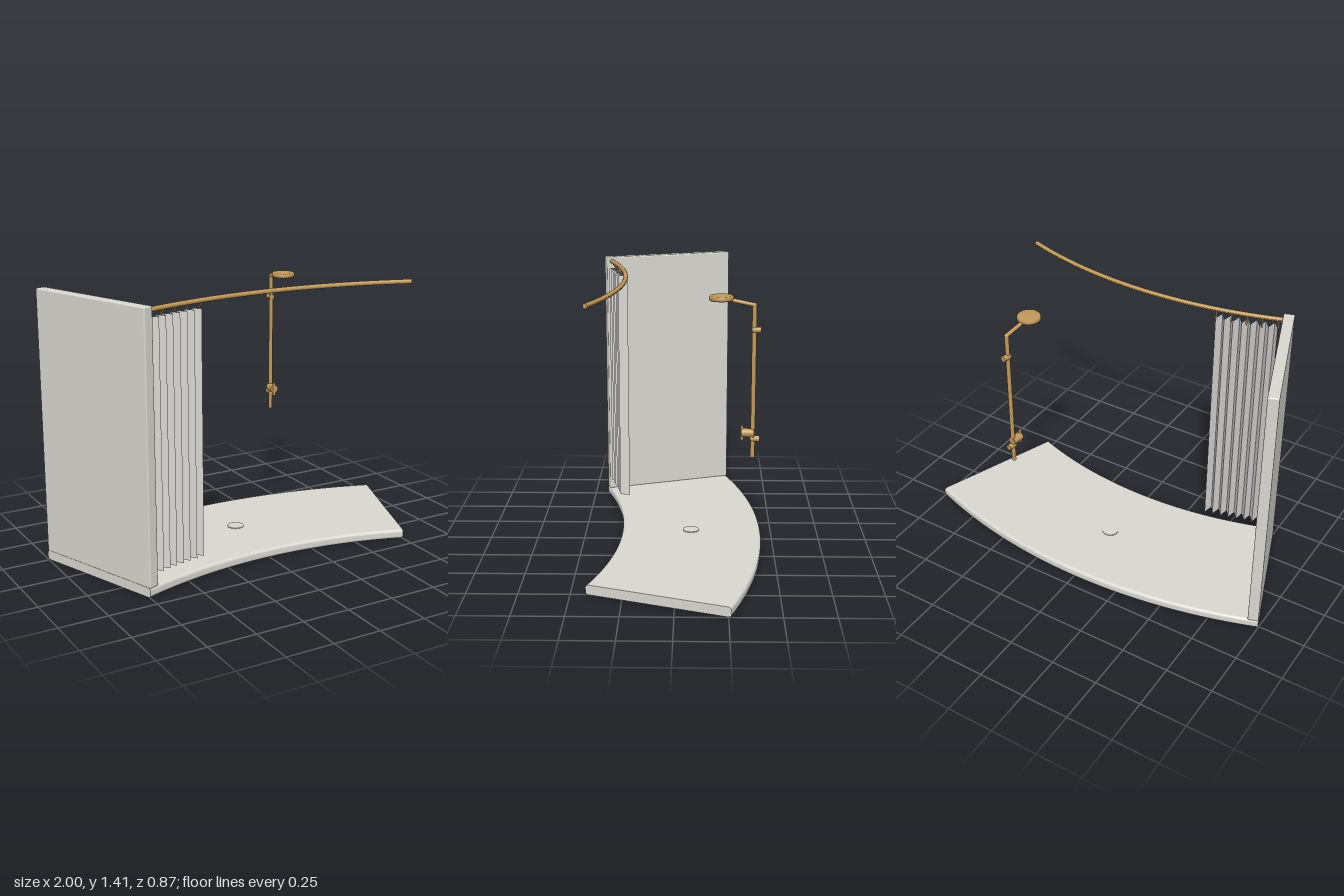
import * as THREE from 'three';
import { RoundedBoxGeometry } from 'three/addons/geometries/RoundedBoxGeometry.js';

const CZ = 2.485, R_IN = 2.19, R_OUT = 2.924, R_RAIL = 2.217; // shared arc centre and radii
const deg = THREE.MathUtils.degToRad;

// Point on the plan at a radius and angle (positive angle is +x, zero is the back)
const onArc = (r, a, y) => new THREE.Vector3(r * Math.sin(a), y, CZ - r * Math.cos(a));

// Sweep a closed counter-clockwise section (radius, y) between two angles, with end caps
function arcSweep(name, section, a0, a1, mat) {
  const g = new THREE.Group();
  g.name = name;
  const body = new THREE.Mesh(
    new THREE.LatheGeometry([...section, section[0].clone()], 64, Math.PI - a1, a1 - a0), mat);
  body.name = name + 'Body';
  g.add(body);
  for (const a of [a0, a1]) {
    const cap = new THREE.Mesh(new THREE.ShapeGeometry(new THREE.Shape(section)), mat);
    cap.rotation.y = Math.PI / 2 - a;
    cap.name = name + 'End';
    g.add(cap);
  }
  g.position.z = CZ;
  return g;
}

// Rounded rectangle section with short flats beside each corner to keep the faces flat
function roundedSection(x0, x1, y0, y1, r) {
  const pts = [], e = 0.001;
  const corners = [[x1 - r, y0 + r, -90], [x1 - r, y1 - r, 0], [x0 + r, y1 - r, 90], [x0 + r, y0 + r, 180]];
  for (const [cx, cy, start] of corners) {
    const s = deg(start), t = s + Math.PI / 2;
    pts.push(new THREE.Vector2(cx + r * Math.cos(s) + e * Math.sin(s), cy + r * Math.sin(s) - e * Math.cos(s)));
    for (let i = 0; i <= 6; i++) {
      const a = s + (i / 6) * Math.PI / 2;
      pts.push(new THREE.Vector2(cx + r * Math.cos(a), cy + r * Math.sin(a)));
    }
    pts.push(new THREE.Vector2(cx + r * Math.cos(t) - e * Math.sin(t), cy + r * Math.sin(t) + e * Math.cos(t)));
  }
  return pts;
}

export function createModel() {
  const model = new THREE.Group();
  model.name = 'curvedShower';
  const ceramic = new THREE.MeshStandardMaterial({ name: 'ceramic', color: 0xd8d7d0, side: THREE.DoubleSide });
  const fabric = new THREE.MeshStandardMaterial({ name: 'fabric', color: 0xdad9d6, side: THREE.DoubleSide });
  const brass = new THREE.MeshStandardMaterial({ name: 'brass', color: 0xc0995a, side: THREE.DoubleSide });

  const add = (parent, name, geo, mat, x = 0, y = 0, z = 0) => {
    const m = new THREE.Mesh(geo, mat);
    m.name = name;
    m.position.set(x, y, z);
    parent.add(m);
    return m;
  };
  // Straight rod between two points
  const rod = (parent, name, a, b, r, mat) => {
    const m = add(parent, name, new THREE.CylinderGeometry(r, r, a.distanceTo(b), 20), mat);
    m.position.copy(a).lerp(b, 0.5);
    m.quaternion.setFromUnitVectors(new THREE.Vector3(0, 1, 0), b.clone().sub(a).normalize());
    return m;
  };

  // Curved tray and drain cover
  const half = deg(20);
  model.add(arcSweep('tray', roundedSection(R_IN, R_OUT, 0, 0.05, 0.015), -half, half, ceramic));
  add(model, 'drainCover', new THREE.CylinderGeometry(0.043, 0.043, 0.005, 40), ceramic, 0, 0.052, -0.07);

  // Side wall, flush with the tray end
  const t = 0.055, mid = onArc((R_IN + R_OUT) / 2, -half, 0.73);
  const wall = add(model, 'sideWall', new RoundedBoxGeometry(t, 1.365, R_OUT - R_IN, 3, 0.007), ceramic);
  wall.position.set(mid.x + Math.cos(half) * t / 2, 0.7295, mid.z - Math.sin(half) * t / 2);
  wall.rotation.y = half;

  // Curtain rail
  const ring = [];
  for (let i = 0; i < 16; i++) {
    const a = i / 16 * Math.PI * 2;
    ring.push(new THREE.Vector2(R_RAIL + 0.012 * Math.cos(a), 1.39 + 0.012 * Math.sin(a)));
  }
  model.add(arcSweep('curtainRail', ring, deg(-18.8), half, brass));

  // Pleated curtain gathered at the wall end
  const c0 = deg(-18.1), c1 = deg(-10.15), folds = 14;
  let cloth = new THREE.PlaneGeometry(1, 1, folds, 1);
  const pos = cloth.attributes.position;
  for (let i = 0; i < pos.count; i++) {
    const k = i % (folds + 1);
    const p = onArc(R_RAIL + (k % 2 ? -0.025 : 0.025), c0 + (c1 - c0) * k / folds, pos.getY(i) > 0 ? 1.355 : 0.11);
    pos.setXYZ(i, p.x, p.y, p.z);
  }
  cloth = cloth.toNonIndexed();
  cloth.computeVertexNormals();
  add(model, 'curtain', cloth, fabric);

  // Curtain hooks
  for (let i = 0; i < 5; i++) {
    const a = c0 + (c1 - c0) * i / 4;
    rod(model, 'curtainHook', onArc(R_RAIL, a, 1.385), onArc(R_RAIL + 0.026, a, 1.345), 0.004, brass);
  }

  // Shower column, local +z pointing to the arc centre
  const shower = new THREE.Group();
  shower.name = 'showerColumn';
  shower.position.set(0.398, 0, -0.373);
  shower.rotation.y = -0.138;
  model.add(shower);
  const v = (y, z) => new THREE.Vector3(0, y, z);
  rod(shower, 'riser', v(0.58, 0), v(1.335, 0), 0.011, brass);
  add(shower, 'elbow', new THREE.SphereGeometry(0.011, 16, 12), brass, 0, 1.335, 0);
  rod(shower, 'arm', v(1.335, 0), v(1.36, 0.13), 0.01, brass);
  for (const y of [0.675, 1.215]) rod(shower, 'wallBracket', v(y, -0.034), v(y, 0.011), 0.015, brass);

  // Shower head
  const headProfile = [[0, -0.012], [0.055, -0.012], [0.06, -0.007], [0.06, 0.007], [0.055, 0.012], [0, 0.012]]
    .map(([x, y]) => new THREE.Vector2(x, y));
  add(shower, 'showerHead', new THREE.LatheGeometry(headProfile, 40), brass, 0, 1.365, 0.16);

  // Mixer valve with a thin upright handle
  rod(shower, 'mixer', v(0.703, -0.008), v(0.703, 0.055), 0.022, brass);
  rod(shower, 'mixerHandle', v(0.668, 0.053), v(0.738, 0.053), 0.008, brass);

  return model;
}
